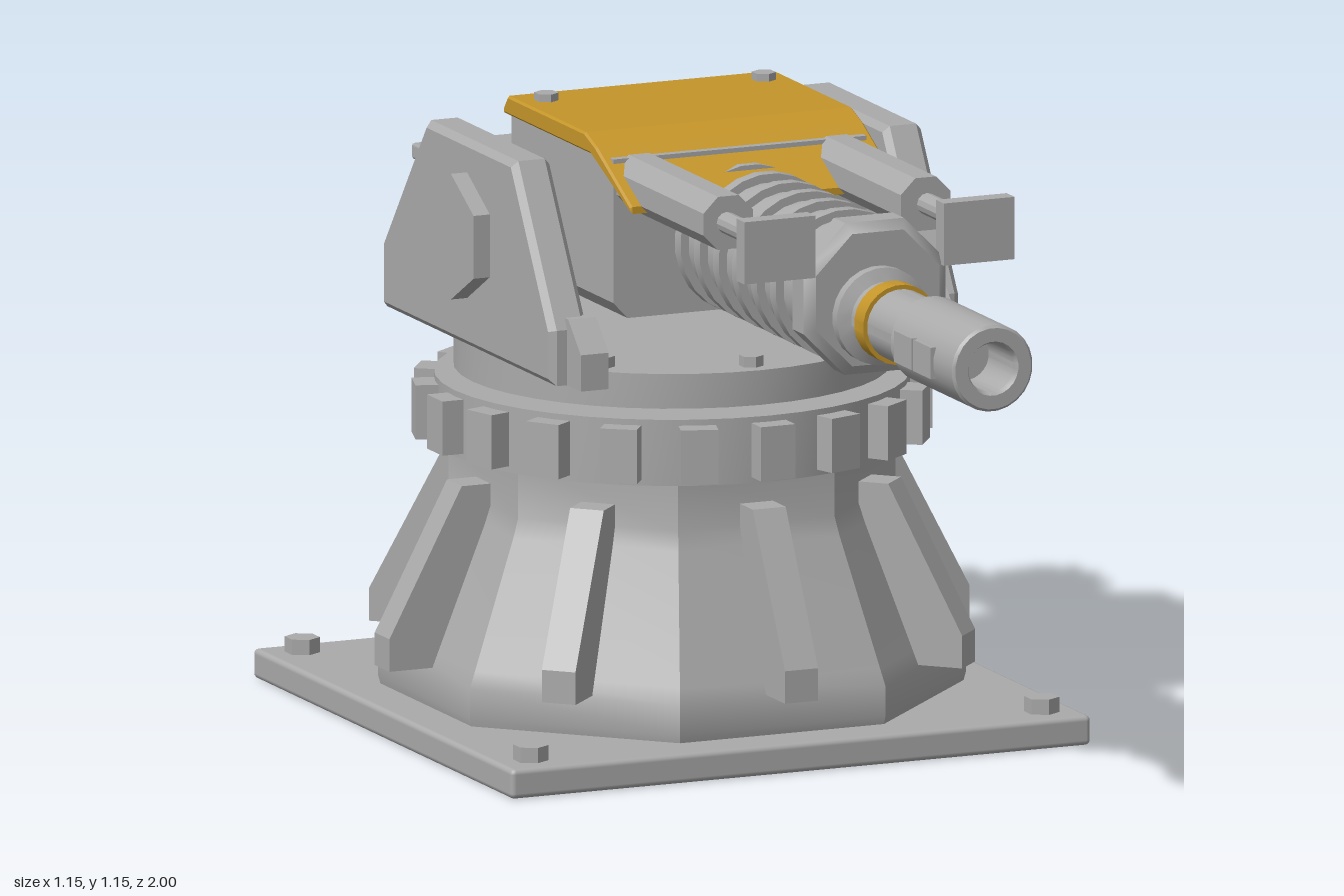
import * as THREE from 'three';
import { toCreasedNormals } from 'three/addons/utils/BufferGeometryUtils.js';
import { RoundedBoxGeometry } from 'three/addons/geometries/RoundedBoxGeometry.js';

const CZ = -0.42;                       // turret axis
const OCT = 1 / Math.cos(Math.PI / 8);  // octagon apothem to radius

export function createModel() {
  const steel = new THREE.MeshStandardMaterial({ color: 0xaaaaaa });
  steel.name = 'steel grey';
  const yellow = new THREE.MeshStandardMaterial({ color: 0xc4952a });
  yellow.name = 'safety yellow';

  const model = new THREE.Group();
  model.name = 'turret';
  const add = (name, geo, x = 0, y = 0, z = 0, mat = steel, parent = model) => {
    const m = new THREE.Mesh(geo, mat);
    m.name = name;
    m.position.set(x, y, z);
    parent.add(m);
    return m;
  };
  const crease = (g) => toCreasedNormals(g, 0.5);
  const shapeOf = (pts) => new THREE.Shape(pts.map((p) => new THREE.Vector2(...p)));
  const hex = (r, h) => crease(new THREE.CylinderGeometry(r, r, h, 6));
  // solid of revolution from [radius, height] points
  const lathe = (pts, sides) => crease(new THREE.LatheGeometry(
    pts.map((p) => new THREE.Vector2(...p)), sides, Math.PI / sides));
  const latheZ = (pts, sides) => lathe(pts, sides).rotateX(Math.PI / 2);
  // profile of [z, y] points, extruded across x and centred
  const across = (pts, width, bevel = 0.01) => {
    const g = new THREE.ExtrudeGeometry(shapeOf(pts), {
      depth: width - 2 * bevel, bevelEnabled: bevel > 0, bevelSize: bevel,
      bevelThickness: bevel, bevelOffset: -bevel, bevelSegments: 1 });
    return g.translate(0, 0, bevel - width / 2).rotateY(-Math.PI / 2);
  };
  // gear disc lying in the xz plane
  const gear = (name, n, r, disc, tooth, sides) => {
    const g = new THREE.Group();
    g.name = name;
    add('gearDisc', crease(new THREE.CylinderGeometry(r, r, disc, sides)), 0, 0, 0, steel, g);
    for (let i = 0; i < n; i++) {
      const a = (i / n) * Math.PI * 2;
      const t = add('gearTooth', new THREE.BoxGeometry(...tooth),
        Math.sin(a) * r, 0, Math.cos(a) * r, steel, g);
      t.rotation.y = a;
    }
    model.add(g);
    return g;
  };

  // Base plate and corner bolts
  add('basePlate', new RoundedBoxGeometry(1.146, 0.055, 1.146, 2, 0.01), 0, 0.0275, CZ);
  for (const sx of [-1, 1]) for (const sz of [-1, 1])
    add('baseBolt', hex(0.032, 0.03), sx * 0.505, 0.068, CZ + sz * 0.505);

  // Octagonal pedestal
  const ped = [[0, 0.05], [0.485, 0.05], [0.49, 0.07], [0.49, 0.125], [0.478, 0.155],
    [0.385, 0.385], [0.373, 0.42], [0.373, 0.52], [0, 0.52]];
  add('pedestal', lathe(ped.map(([r, y]) => [r * OCT, y]), 8), 0, 0, CZ);

  // Pedestal ribs
  const rib = across([[0.34, 0.13], [0.573, 0.13], [0.573, 0.19], [0.43, 0.46], [0.34, 0.46]], 0.065, 0);
  for (let i = 0; i < 8; i++)
    add('pedestalRib', rib, 0, 0, CZ).rotation.y = (i * Math.PI) / 4;

  // Slewing gear and turntable
  gear('slewingGear', 20, 0.43, 0.122, [0.068, 0.1, 0.078], 40).position.set(0, 0.57, CZ);
  add('turntable', crease(new THREE.CylinderGeometry(0.395, 0.395, 0.064, 40)), 0, 0.676, CZ);
  for (let i = 0; i < 8; i++) {
    const a = (i * Math.PI) / 4;
    add('turntableBolt', hex(0.022, 0.025), Math.sin(a) * 0.35, 0.715, CZ + Math.cos(a) * 0.35);
  }

  // Yoke arms with pivots, and recoil rods, on both sides
  const arm = across([[-0.05, 0.708], [-0.05, 0.81], [-0.22, 1.09], [-0.605, 1.09],
    [-0.8, 0.83], [-0.8, 0.708]], 0.076, 0.012);
  const foot = across([[0.01, 0.708], [0.01, 0.775], [-0.045, 0.83], [-0.12, 0.83], [-0.12, 0.708]], 0.055, 0);
  for (const s of [-1, 1]) {
    add('yokeArm', arm, s * 0.367);
    add('yokeFoot', foot, s * 0.345);
    add('pivotCap', hex(0.116, 0.04).rotateY(Math.PI / 2).rotateZ(Math.PI / 2)
      .rotateX(Math.PI / 2), s * 0.417, 0.915, CZ).rotation.x = Math.PI / 2;
    add('recoilHousing', latheZ([[0, -0.13], [0.053, -0.13], [0.053, 0.265], [0, 0.265]], 8),
      s * 0.195, 1.055, 0);
    add('recoilRod', crease(new THREE.CylinderGeometry(0.02, 0.02, 0.25, 12)).rotateX(Math.PI / 2),
      s * 0.198, 1.055, 0.36);
    add('recoilPlate', new THREE.BoxGeometry(0.14, 0.115, 0.035), s * 0.197, 1.05, 0.48);
  }

  // Gun housing
  const housing = new THREE.ExtrudeGeometry(shapeOf([[-0.25, 1.1], [-0.25, 0.835], [-0.222, 0.805],
    [0.222, 0.805], [0.25, 0.835], [0.25, 1.1]]), { depth: 0.45, bevelEnabled: false });
  add('gunHousing', housing, 0, 0, -0.57);
  add('housingLug', new THREE.BoxGeometry(0.07, 0.065, 0.17), 0.28, 0.978, -0.31);
  add('lugBolt', hex(0.025, 0.02).rotateZ(Math.PI / 2), 0.32, 0.978, -0.31);

  // Yellow top cover with bolts
  add('topCover', across([[-0.01, 1.022], [-0.19, 1.098], [-0.575, 1.098], [-0.575, 1.108],
    [-0.555, 1.133], [-0.215, 1.133], [-0.165, 1.115], [-0.01, 1.035]], 0.53, 0.004), 0, 0, 0, yellow);
  for (const s of [-1, 1]) add('coverBolt', hex(0.022, 0.02), s * 0.215, 1.137, -0.495);

  // Rear ammunition box with lid
  add('ammoBox', across([[-0.73, 0.945], [-0.765, 0.71], [-0.995, 0.71], [-0.998, 0.945]], 0.505, 0.012),
    0, 0, 0, yellow);
  add('ammoBoxLid', new RoundedBoxGeometry(0.53, 0.03, 0.215, 1, 0.006), 0, 0.948, -0.875);

  // Feed gear beside the ammunition box
  const feed = gear('feedGear', 12, 0.115, 0.06, [0.034, 0.06, 0.06], 24);
  feed.rotation.z = Math.PI / 2;
  feed.position.set(0.376, 0.88, -0.82);
  add('feedGearBolt', hex(0.04, 0.025).rotateZ(Math.PI / 2), 0.412, 0.88, -0.82);

  // Ribbed barrel sleeve
  const sleeve = [[0, -0.14], [0.122, -0.14]];
  for (let i = 0; i < 6; i++) {
    const z = -0.1 + i * 0.084;
    sleeve.push([0.122, z], [0.138, z], [0.138, z + 0.026], [0.122, z + 0.026]);
  }
  sleeve.push([0.122, 0.43], [0, 0.43]);
  add('barrelSleeve', latheZ(sleeve, 24), 0, 0.94, 0);
  add('sleeveCollar', latheZ([[0, 0.405], [0.105, 0.405], [0.14, 0.425], [0.14, 0.475], [0.122, 0.49],
    [0, 0.49]].map(([r, z]) => [r * OCT, z]), 8), 0, 0.943, 0);

  // Barrel, band and hollow muzzle
  add('barrel', latheZ([[0.09, 0.48], [0.09, 0.51], [0.066, 0.52], [0.066, 0.73]], 24), 0, 0.913, 0);
  add('barrelBand', latheZ([[0.06, 0.55], [0.074, 0.55], [0.074, 0.59], [0.06, 0.59]], 24), 0, 0.913, 0, yellow);
  add('muzzle', latheZ([[0.06, 0.715], [0.072, 0.715], [0.08, 0.725], [0.08, 0.995], [0.075, 1],
    [0.05, 1], [0.045, 0.99], [0.045, 0.88], [0, 0.88]], 24), 0, 0.913, 0);
  for (const s of [-1, 1]) for (const z of [0.79, 0.875])
    add('muzzleVent', new THREE.BoxGeometry(0.03, 0.058, 0.078), s * 0.07, 0.913, z);

  return model;
}
